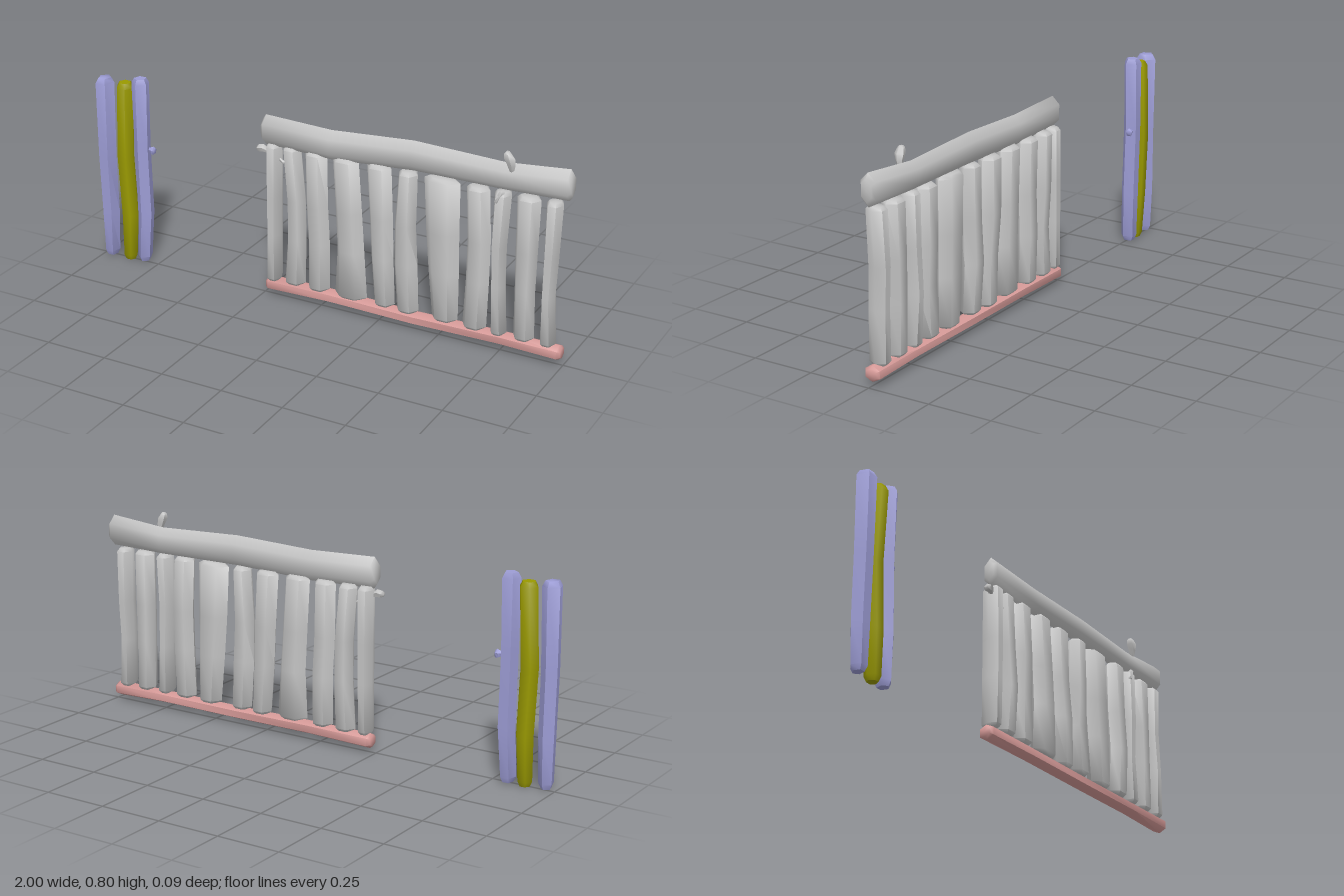
import * as THREE from 'three';
import { toCreasedNormals } from 'three/addons/utils/BufferGeometryUtils.js';

const grey = new THREE.MeshStandardMaterial({ name: 'paleWood', color: 0xc4c4c4 });
const blue = new THREE.MeshStandardMaterial({ name: 'lavenderWood', color: 0x9c9cd4 });
const olive = new THREE.MeshStandardMaterial({ name: 'oliveWood', color: 0x999900 });
const pink = new THREE.MeshStandardMaterial({ name: 'pinkWood', color: 0xd69a98 });

// Crooked log along the x or y axis. Stations are [t, u, z, ru, rz]:
// position along the axis, centre across it, and the two radii.
function log(name, material, axis, stations, { sides = 6, phase = 0, bevel = 0.012, cap = 0.7 } = {}) {
  const first = stations[0], last = stations[stations.length - 1];
  const shrink = ([t, u, z, ru, rz], d) => [t + d, u, z, ru * cap, rz * cap];
  const rows = [shrink(first, -bevel), ...stations, shrink(last, bevel)];
  const make = (t, u, z) => (axis === 'y' ? [u, t, z] : [t, u, z]);
  const rings = rows.map(([t, u, z, ru, rz]) =>
    Array.from({ length: sides }, (_, i) => {
      const a = phase + (i / sides) * Math.PI * 2;
      return make(t, u + ru * Math.cos(a), z + rz * Math.sin(a));
    }));
  const pos = [];
  const tri = (a, b, c) => pos.push(...a, ...(axis === 'y' ? [...b, ...c] : [...c, ...b]));
  const bottom = make(...rows[0]), top = make(...rows[rows.length - 1]);
  const end = rings[rings.length - 1];
  for (let i = 0; i < sides; i++) {
    const j = (i + 1) % sides;
    for (let k = 0; k < rings.length - 1; k++) {
      const A = rings[k], B = rings[k + 1];
      tri(A[i], B[i], B[j]);
      tri(A[i], B[j], A[j]);
    }
    tri(bottom, rings[0][i], rings[0][j]);
    tri(top, end[j], end[i]);
  }
  const geo = new THREE.BufferGeometry();
  geo.setAttribute('position', new THREE.Float32BufferAttribute(pos, 3));
  const mesh = new THREE.Mesh(toCreasedNormals(geo, 1.12), material);
  mesh.name = name;
  return mesh;
}

export function createModel() {
  const model = new THREE.Group();
  model.name = 'logFence';

  // Three loose logs standing apart from the fence
  const pent = { sides: 5, phase: -Math.PI / 2, bevel: 0.02 };
  model.add(
    log('outerPost', blue, 'y', [
      [0.03, -0.963, 0.006, 0.028, 0.034], [0.2, -0.963, 0.004, 0.033, 0.038],
      [0.45, -0.965, 0.008, 0.034, 0.04], [0.755, -0.963, 0.006, 0.037, 0.042]], pent),
    log('middlePost', olive, 'y', [
      [0.025, -0.88, 0, 0.03, 0.03], [0.2, -0.878, -0.006, 0.035, 0.036],
      [0.45, -0.89, -0.008, 0.036, 0.036], [0.745, -0.877, -0.006, 0.036, 0.036]], { bevel: 0.02 }),
    log('innerPost', blue, 'y', [
      [0.03, -0.815, -0.006, 0.029, 0.034], [0.22, -0.806, -0.012, 0.033, 0.036],
      [0.5, -0.812, -0.014, 0.032, 0.036], [0.77, -0.81, -0.013, 0.036, 0.036]], { ...pent, phase: Math.PI / 2 }),
    log('postTwig', blue, 'x', [
      [-0.79, 0.49, -0.025, 0.008, 0.008], [-0.777, 0.488, -0.025, 0.014, 0.013],
      [-0.768, 0.488, -0.025, 0.018, 0.016]], { sides: 5, bevel: 0.006 }));

  // Horizontal rails
  model.add(
    log('topRail', grey, 'x', [
      [-0.229, 0.7, 0.014, 0.06, 0.035], [0.05, 0.691, 0.013, 0.059, 0.036],
      [0.38, 0.708, -0.004, 0.059, 0.038], [0.74, 0.701, -0.008, 0.053, 0.036],
      [0.985, 0.715, -0.01, 0.061, 0.035]]),
    log('bottomRail', pink, 'x', [
      [-0.225, 0.051, -0.002, 0.03, 0.034], [0.05, 0.055, -0.004, 0.027, 0.033],
      [0.4, 0.051, 0, 0.026, 0.033], [0.75, 0.055, -0.004, 0.026, 0.033],
      [0.98, 0.052, -0.004, 0.03, 0.035]]));

  // Pickets: [bottom x, bottom r, middle x, middle r, top x, top r, z]
  const pickets = [
    [-0.203, 0.028, -0.2, 0.027, -0.2, 0.032, 0.004],
    [-0.115, 0.045, -0.1, 0.04, -0.126, 0.038, -0.002],
    [-0.01, 0.046, -0.012, 0.046, -0.022, 0.046, 0],
    [0.13, 0.068, 0.127, 0.057, 0.104, 0.054, 0.002],
    [0.27, 0.043, 0.256, 0.046, 0.24, 0.05, -0.004],
    [0.37, 0.045, 0.352, 0.048, 0.362, 0.038, 0.002],
    [0.522, 0.053, 0.508, 0.062, 0.497, 0.072, -0.002],
    [0.644, 0.048, 0.655, 0.046, 0.642, 0.046, 0.001],
    [0.742, 0.032, 0.728, 0.026, 0.738, 0.033, 0],
    [0.84, 0.041, 0.835, 0.04, 0.837, 0.046, -0.003],
    [0.935, 0.032, 0.928, 0.025, 0.935, 0.032, -0.005],
  ];
  pickets.forEach(([bx, br, mx, mr, tx, tr, z], i) => {
    const bow = 0.004 * Math.sin(i * 2.1);
    model.add(log('picket' + (i + 1), grey, 'y', [
      [0.085, bx, z, br, 0.04],
      [0.27, mx + (bx - mx) * 0.3, z + bow, mr, 0.042],
      [0.43, mx + (tx - mx) * 0.4, z - bow, (mr + tr) / 2, 0.042],
      [0.635, tx, z, tr, 0.04]]));
  });

  // Broken branch stubs
  const stub = { sides: 5, bevel: 0.008, cap: 0.5 };
  model.add(
    log('topStub', grey, 'y', [
      [0.735, 0.772, 0.014, 0.009, 0.009], [0.758, 0.77, 0.016, 0.016, 0.014],
      [0.782, 0.764, 0.018, 0.021, 0.02], [0.8, 0.756, 0.018, 0.014, 0.014]], stub),
    log('leftStub', grey, 'x', [
      [-0.258, 0.621, 0.02, 0.014, 0.018], [-0.24, 0.623, 0.018, 0.015, 0.016],
      [-0.215, 0.61, 0.01, 0.008, 0.008]], stub),
    log('innerStub', grey, 'x', [
      [-0.18, 0.59, 0.008, 0.006, 0.006], [-0.158, 0.578, 0.012, 0.008, 0.008]], stub),
    log('picketStub', grey, 'y', [
      [0.612, 0.725, 0.03, 0.01, 0.009], [0.65, 0.742, 0.025, 0.012, 0.01]], stub));
  return model;
}
